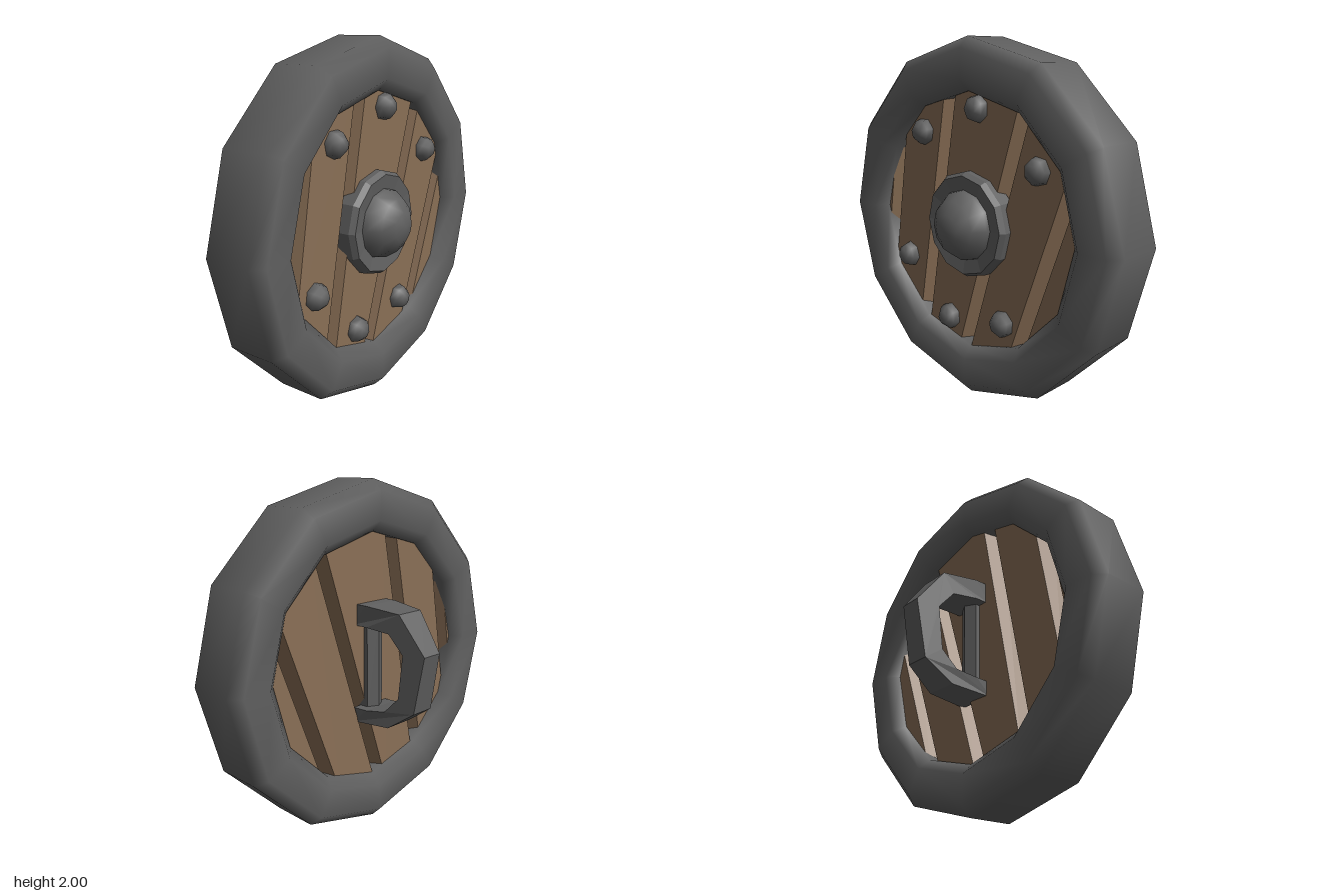
import * as THREE from 'three';

export function createModel() {
  const model = new THREE.Group();
  const iron = new THREE.MeshStandardMaterial({ color: 0x606060 });
  iron.name = 'iron';
  const wood = new THREE.MeshStandardMaterial({ color: 0x8a6f56 });
  wood.name = 'wood';

  const add = (name, geometry, material, x = 0, y = 0, z = 0) => {
    const mesh = new THREE.Mesh(geometry, material);
    mesh.name = name;
    mesh.position.set(x, y, z);
    model.add(mesh);
    return mesh;
  };
  const flat = (geometry) => {
    const g = geometry.index ? geometry.toNonIndexed() : geometry;
    g.computeVertexNormals();
    return g;
  };
  // Twelve-sided turned part whose axis points forward; profile is [radius, z]
  const turned = (profile) =>
    new THREE.LatheGeometry(profile.map(([r, z]) => new THREE.Vector2(r, z)), 12).rotateX(Math.PI / 2);

  // Bevelled rim, smooth shaded
  add('rim', turned([
    [0.72, 0.125], [0.72, -0.01], [0.78, -0.07], [0.94, -0.07], [1, -0.01],
    [1, 0.26], [0.94, 0.32], [0.78, 0.32], [0.72, 0.26], [0.72, 0.125],
  ]), iron, 0, 1, 0);

  // Seams between the planks, each from bottom to top; V grooves on both sides
  const seams = [
    [[-0.85, -0.1], [-0.75, 0.45]],
    [[-0.715, -0.4], [-0.552, 0.6]],
    [[-0.406, -0.7], [-0.13, 0.8]],
    [[-0.085, -0.84], [0.416, 0.72]],
    [[0.3, -0.78], [0.744, 0.42]],
    [[0.75, -0.5], [0.88, 0.1]],
  ];
  const front = 0.25, back = 0, middle = 0.125;
  for (let p = 0; p < seams.length - 1; p++) {
    const positions = [], index = [];
    for (let end = 0; end < 2; end++) {
      const [lx, ly] = seams[p][end], [rx, ry] = seams[p + 1][end];
      positions.push(
        lx, ly, middle, lx + 0.04, ly, front, rx - 0.05, ry, front,
        rx, ry, middle, rx - 0.05, ry, back, lx + 0.04, ly, back,
      );
    }
    for (let i = 0; i < 6; i++) {
      const j = (i + 1) % 6;
      index.push(i, j, j + 6, i, j + 6, i + 6);
    }
    const g = new THREE.BufferGeometry();
    g.setAttribute('position', new THREE.Float32BufferAttribute(positions, 3));
    g.setIndex(index);
    add('plank', flat(g), wood, 0, 1, 0);
  }

  // Central boss: chamfered flange and dome
  add('bossFlange', flat(turned([
    [0.295, 0.2], [0.295, 0.285], [0.275, 0.315], [0.18, 0.3],
  ])), iron, 0, 1, 0);
  add('bossDome', new THREE.SphereGeometry(0.208, 12, 8).rotateX(Math.PI / 2), iron, 0, 1, 0.245);

  // Rivets around the boards
  const rivets = [
    [0.06, 1.63], [-0.37, 1.48], [0.48, 1.345], [-0.525, 0.725], [-0.175, 0.42], [0.24, 0.48],
  ];
  rivets.forEach(([x, y], i) => {
    const rivet = add('rivet', new THREE.SphereGeometry(0.076, 7, 6).rotateX(Math.PI / 2), iron, x, y, 0.25);
    rivet.rotation.z = i * 0.7;
  });

  // Grip at the back: side outline as [z, y], extruded and narrowed towards the rear
  const outline = [
    [0.03, 1.33], [-0.07, 1.33], [-0.285, 1.31], [-0.445, 1.1], [-0.385, 0.77], [-0.22, 0.655],
    [0.03, 0.635], [0.03, 0.72], [-0.07, 0.725], [-0.195, 0.745], [-0.285, 0.84], [-0.31, 1.09],
    [-0.22, 1.195], [-0.07, 1.21], [0.03, 1.21],
  ];
  const grip = new THREE.ExtrudeGeometry(
    new THREE.Shape(outline.map(([z, y]) => new THREE.Vector2(-z, y))),
    { depth: 2, bevelEnabled: false },
  ).translate(0, 0, -1).rotateY(Math.PI / 2);
  const pos = grip.attributes.position;
  for (let i = 0; i < pos.count; i++) {
    const halfWidth = Math.min(0.117, 0.117 + (pos.getZ(i) + 0.09) * 0.152);
    pos.setX(i, Math.sign(pos.getX(i)) * halfWidth);
  }
  add('grip', flat(grip), iron);

  // Bar against the boards joining the two ends of the grip
  add('gripBar', flat(new THREE.CylinderGeometry(0.07, 0.07, 0.58, 6)), iron, 0, 0.98, 0.01);

  return model;
}
